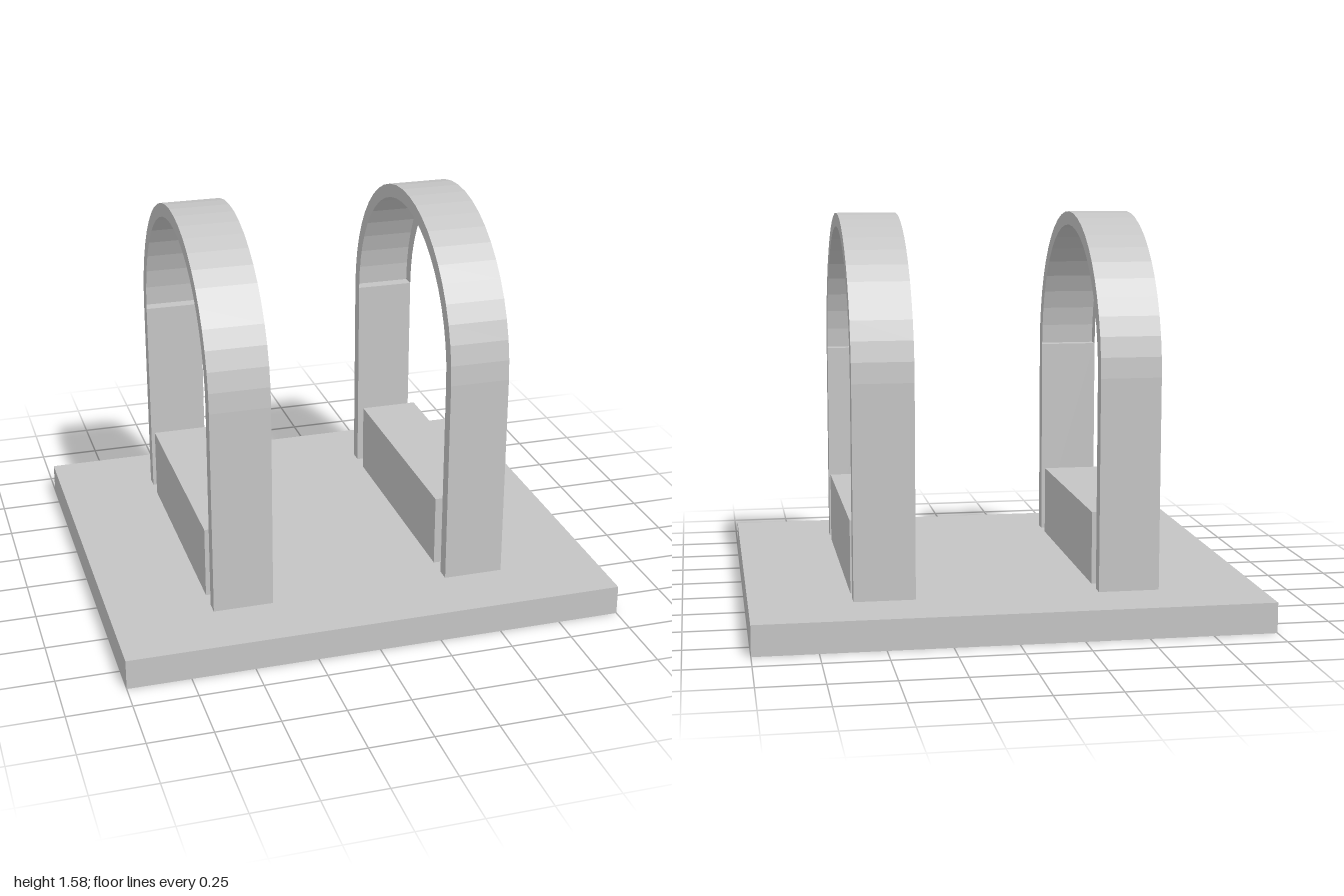
import * as THREE from 'three';

export function createModel() {
  const grey = new THREE.MeshStandardMaterial({ color: 0xc4c4c4, flatShading: true });
  // open arch shells are seen from both sides
  const shellGrey = grey.clone();
  grey.name = 'grey';
  shellGrey.name = 'grey shell';
  shellGrey.side = THREE.DoubleSide;

  const BASE = 0.12, SPRING = 0.96, OUTER = 0.615, INNER = 0.56, WIDTH = 0.24, SEGMENTS = 24;
  const model = new THREE.Group();
  model.name = 'archedStand';

  function add(parent, name, geometry, x, y, z, material = grey) {
    const mesh = new THREE.Mesh(geometry, material);
    mesh.name = name;
    mesh.position.set(x, y, z);
    parent.add(mesh);
  }

  add(model, 'base', new THREE.BoxGeometry(2, BASE, 1.76), 0, BASE / 2, 0);

  for (const side of [-1, 1]) {
    const hoop = new THREE.Group();
    hoop.name = side > 0 ? 'leftHoop' : 'rightHoop';
    hoop.position.x = side * 0.48;
    model.add(hoop);

    // low block between the legs
    add(hoop, 'block', new THREE.BoxGeometry(WIDTH, 0.29, 0.96), 0, BASE + 0.145, 0);

    // straight legs, front and back
    for (const end of [-1, 1]) {
      add(hoop, end > 0 ? 'frontLeg' : 'backLeg',
        new THREE.BoxGeometry(WIDTH, SPRING - BASE, OUTER - INNER),
        0, (SPRING + BASE) / 2, end * (OUTER + INNER) / 2);
    }

    // curved top: outer skin with a flat rim on each side, open underneath
    const skin = new THREE.CylinderGeometry(OUTER, OUTER, WIDTH, SEGMENTS, 1, true, 0, Math.PI);
    skin.rotateZ(Math.PI / 2);
    add(hoop, 'archSkin', skin, 0, SPRING, 0, shellGrey);
    for (const edge of [-1, 1]) {
      const rim = new THREE.RingGeometry(INNER, OUTER, SEGMENTS, 1, 0, Math.PI);
      rim.rotateY(edge * Math.PI / 2);
      add(hoop, 'archRim', rim, edge * WIDTH / 2, SPRING, 0, shellGrey);
    }
  }
  return model;
}
